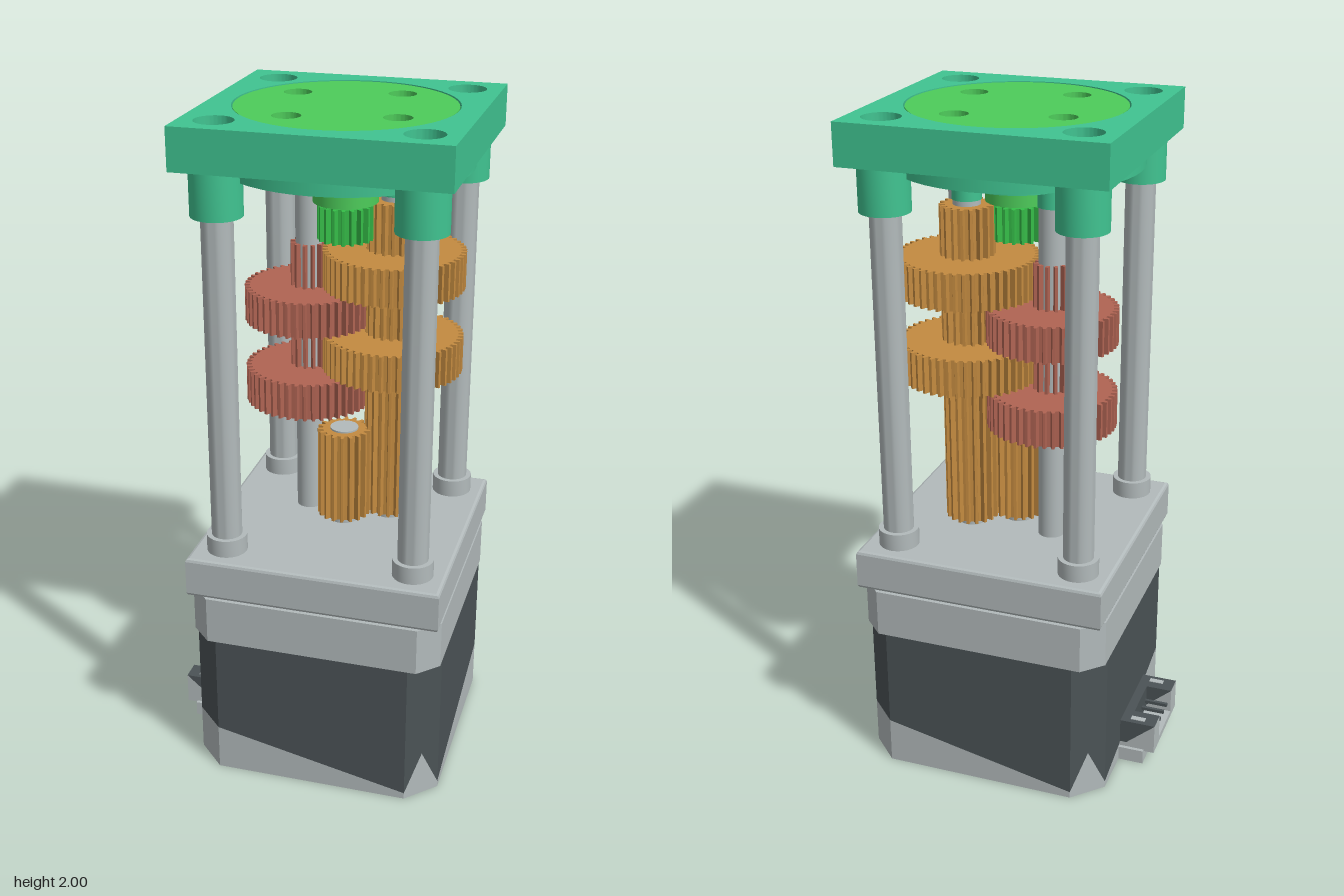
import * as THREE from 'three';
import { toCreasedNormals } from 'three/addons/utils/BufferGeometryUtils.js';

const CX = 0.053;   // centre line of the motor and output
const POST = 0.281; // post offset from the centre line
const HALF = 0.379; // half width of the square housing
const CORNERS = [[1, 1], [-1, 1], [-1, -1], [1, -1]];

function material(name, color, side = THREE.FrontSide) {
  const m = new THREE.MeshStandardMaterial({ color, side });
  m.name = name;
  return m;
}

export function createModel() {
  const metal = material('light grey metal', 0xb2babb, THREE.DoubleSide);
  const dark = material('dark grey', 0x4b5356);
  const teal = material('teal plastic', 0x40c491);
  const green = material('bright green', 0x4dcc5a);
  const gearGreen = material('gear green', 0x35bd48);
  const orange = material('orange gear', 0xc48b40);
  const red = material('red gear', 0xb06453);

  const model = new THREE.Group();
  model.name = 'gearedMotor';

  const add = (name, geo, mat, x = 0, y = 0, z = 0) => {
    const mesh = new THREE.Mesh(geo, mat);
    mesh.name = name;
    mesh.position.set(x, y, z);
    model.add(mesh);
    return mesh;
  };
  const disc = (name, mat, r, y0, y1, x = CX, z = 0) =>
    add(name, new THREE.CylinderGeometry(r, r, y1 - y0, 48), mat, x, (y0 + y1) / 2, z);
  const box = (name, mat, x0, x1, y0, y1, z0, z1) =>
    add(name, new THREE.BoxGeometry(x1 - x0, y1 - y0, z1 - z0), mat,
      (x0 + x1) / 2, (y0 + y1) / 2, (z0 + z1) / 2);

  // Hollow cylinder with sharp rims
  const tube = (name, mat, rIn, rOut, y0, y1, x, z) => {
    const p = [[rIn, y0], [rOut, y0], [rOut, y1], [rIn, y1], [rIn, y0]];
    const geo = new THREE.LatheGeometry(p.map(([a, b]) => new THREE.Vector2(a, b)), 32);
    return add(name, toCreasedNormals(geo, 0.6), mat, x, 0, z);
  };

  const addHole = (shape, x, y, r) => {
    shape.holes.push(new THREE.Path().absarc(x, y, r, 0, Math.PI * 2, true));
    return shape;
  };
  const polygon = pts => new THREE.Shape(pts.map(([x, y]) => new THREE.Vector2(x, y)));
  const withPostHoles = (shape, r) => {
    CORNERS.forEach(([i, j]) => addHole(shape, i * POST, j * POST, r));
    return shape;
  };
  const square = h => polygon(CORNERS.map(([i, j]) => [i * h, j * h]));

  // Horizontal slab between two heights
  const slab = (name, mat, shape, y0, y1, x = CX, z = 0, bevel = 0) => {
    const geo = new THREE.ExtrudeGeometry(shape, {
      depth: y1 - y0 - 2 * bevel, curveSegments: 32, bevelEnabled: bevel > 0,
      bevelSize: bevel, bevelThickness: bevel, bevelSegments: 2,
    });
    geo.rotateX(-Math.PI / 2);
    return add(name, toCreasedNormals(geo, 0.35), mat, x, y0 + bevel, z);
  };

  // Square outline with chamfered corners, three points at each corner
  const chamfered = c => {
    const pts = [];
    for (let i = 0; i < 4; i++) {
      for (let [x, z] of [[HALF, HALF - c], [HALF - c / 2, HALF - c / 2], [HALF - c, HALF]]) {
        for (let k = 0; k < i; k++) [x, z] = [-z, x];
        pts.push([x, z]);
      }
    }
    return pts;
  };

  // Wall around an outline whose lower and upper edges vary by point
  const wall = (name, mat, pts, low, high) => {
    const pos = [];
    pts.forEach(([ax, az], i) => {
      const j = (i + 1) % pts.length, [bx, bz] = pts[j];
      pos.push(ax, low(i), az, ax, high(i), az, bx, high(j), bz);
      pos.push(ax, low(i), az, bx, high(j), bz, bx, low(j), bz);
    });
    const geo = new THREE.BufferGeometry();
    geo.setAttribute('position', new THREE.Float32BufferAttribute(pos, 3));
    geo.computeVertexNormals();
    return add(name, geo, mat, CX);
  };

  // Motor: sloping light base, dark stator, light upper housing, flange
  const outline = chamfered(0.085);
  const seam = i => (i % 3 === 1 || Math.floor(i / 3) % 2 === 1 ? 0.145 : 0.02);
  wall('motorBase', metal, outline, () => 0, seam);
  wall('motorStator', dark, outline, seam, () => 0.455);
  const bottom = addHole(withPostHoles(polygon(outline), 0.035), 0, 0, 0.055);
  add('motorBottom', new THREE.ShapeGeometry(bottom, 32).rotateX(Math.PI / 2), metal, CX);
  tube('bottomBearing', metal, 0.045, 0.055, 0, 0.1, CX, 0);
  disc('bearingEnd', metal, 0.055, 0.1, 0.11);
  slab('motorUpperHousing', metal, withPostHoles(polygon(chamfered(0.06)), 0.03), 0.455, 0.6);
  slab('motorFlange', metal, withPostHoles(square(HALF - 0.01), 0.04), 0.603, 0.727, CX, 0, 0.01);

  // Hollow posts with collars, upper bosses and screw channels
  for (const [i, j] of CORNERS) {
    const x = CX + i * POST, z = j * POST;
    tube('screwChannel', metal, 0.03, 0.035, 0, 0.46, x, z);
    tube('post', metal, 0.03, 0.045, 0.72, 1.8, x, z);
    tube('postCollar', metal, 0.04, 0.06, 0.725, 0.78, x, z);
    tube('postBoss', teal, 0.03, 0.073, 1.745, 1.885, x, z);
  }

  // Top plate with counterbores and inset output disc
  const lid = r => addHole(withPostHoles(square(HALF), r), 0, 0, 0.313);
  slab('topPlateLower', teal, lid(0.03), 1.88, 1.96);
  slab('topPlateUpper', teal, lid(0.055), 1.96, 2);
  const face = new THREE.Shape().absarc(0, 0, 0.309, 0, Math.PI * 2);
  for (const [x, z] of [[-0.12, -0.12], [0.17, -0.175], [-0.065, 0.17], [0.225, 0.115]]) {
    addHole(face, x - CX, -z, 0.04);
  }
  slab('outputDisc', green, face, 1.9, 1.998);
  disc('plateUnderside', teal, 0.36, 1.84, 1.9);
  disc('bearingHousing', teal, 0.17, 1.785, 1.84);
  disc('outputHub', green, 0.093, 1.73, 1.786);

  // Spur gear with trapezoid teeth
  const gear = (name, mat, r, teeth, y0, y1, x, z) => {
    const pts = [];
    const step = Math.PI * 2 / teeth;
    for (let i = 0; i < teeth; i++) {
      for (const [f, d] of [[-0.3, 0.016], [-0.14, 0], [0.14, 0], [0.3, 0.016]]) {
        const a = (i + f) * step;
        pts.push([(r - d) * Math.cos(a), (r - d) * Math.sin(a)]);
      }
    }
    slab(name, mat, polygon(pts), y0, y1, x, z);
  };

  // Motor pinion and output gear
  disc('motorShaft', metal, 0.042, 0.72, 1.035);
  gear('motorPinion', orange, 0.08, 18, 0.75, 1.03, CX, 0);
  gear('outputGear', gearGreen, 0.08, 18, 1.62, 1.72, CX, 0);
  disc('outputNeck', gearGreen, 0.05, 1.71, 1.74);

  // Two parallel gear shafts
  const ox = 0.18, rx = -0.075, sz = -0.07;
  for (const x of [ox, rx]) {
    disc('gearShaft', metal, 0.04, 0.72, 1.8, x, sz);
    disc('shaftBoss', teal, 0.043, 1.74, 1.86, x, sz);
  }
  gear('longOrangeGear', orange, 0.08, 18, 0.75, 1.2, ox, sz);
  for (const [y0, y1, top] of [[1.215, 1.325, 1.45], [1.47, 1.58, 1.725]]) {
    gear('largeOrangeGear', orange, 0.207, 50, y0, y1, ox, sz);
    gear('smallOrangeGear', orange, 0.08, 18, y1, top, ox, sz);
  }
  for (const [y0, y1, top] of [[1.09, 1.2, 1.325], [1.345, 1.45, 1.58]]) {
    gear('largeRedGear', red, 0.19, 46, y0, y1, rx, sz);
    gear('smallRedGear', red, 0.055, 12, y1, top, rx, sz);
  }

  // Cable connector on the side
  box('connectorBase', metal, -0.404, -0.32, 0, 0.045, -0.145, 0.145);
  box('connectorFloor', metal, -0.436, -0.32, 0.04, 0.06, -0.134, 0.134);
  box('connectorBack', dark, -0.355, -0.32, 0.045, 0.138, -0.134, 0.134);
  const wedge = (name, mat, pts, z) => add(name,
    new THREE.ExtrudeGeometry(polygon(pts), { depth: 0.062, bevelEnabled: false }), mat, 0, 0, z);
  for (const z of [-0.134, 0.072]) {
    wedge('connectorCheek', dark, [[-0.436, 0.138], [-0.33, 0.045], [-0.33, 0.138]], z);
    wedge('connectorSide', metal, [[-0.436, 0.04], [-0.33, 0.04], [-0.33, 0.045], [-0.436, 0.138]], z);
  }
  for (const s of [-1, 1]) {
    box('connectorSlot', metal, -0.4, -0.355, 0.13, 0.14, s * 0.11 - 0.009, s * 0.11 + 0.009);
  }
  for (let i = 0; i < 4; i++) {
    const z = -0.06 + i * 0.04;
    box('connectorPin', dark, -0.427, -0.35, 0.085, 0.095, z - 0.005, z + 0.005);
  }
  return model;
}
